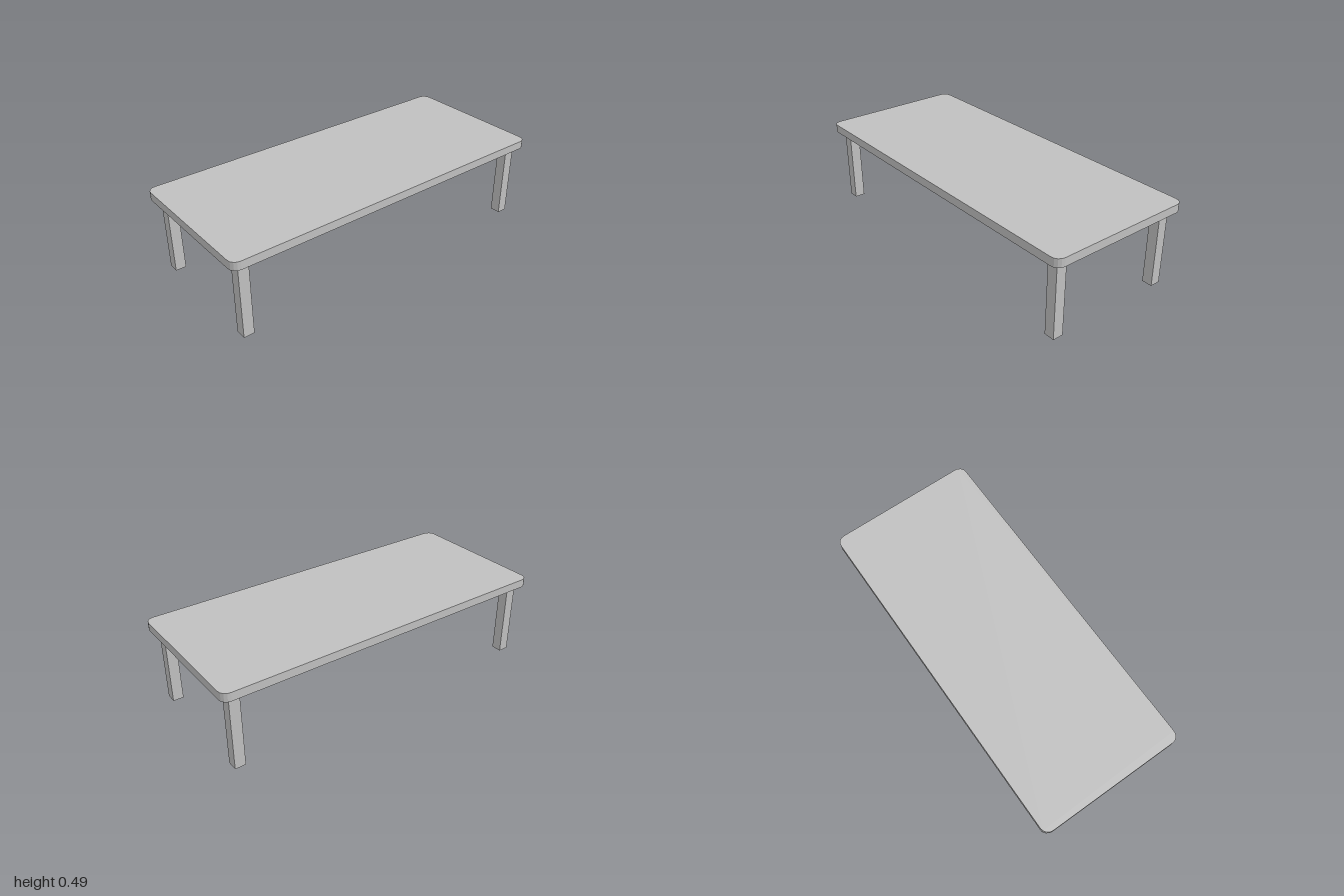
import * as THREE from 'three';

const HALF_X = 1, HALF_Z = 0.427;   // table top half sizes
const TOP = 0.485, UNDER = 0.437;   // top surface and lower edge of the rim
const CEILING = 0.463;              // underside of the panel inside the rim
const LEG = 0.06, LEG_X = 0.92, LEG_Z = 0.35;

// Rectangle with corners cut into two facets each
function roundedRect(w, d, r) {
  const s = new THREE.Shape();
  s.absarc(w - r, d - r, r, 0, Math.PI / 2);
  s.absarc(-w + r, d - r, r, Math.PI / 2, Math.PI);
  s.absarc(-w + r, -d + r, r, Math.PI, Math.PI * 1.5);
  s.absarc(w - r, -d + r, r, Math.PI * 1.5, Math.PI * 2);
  s.closePath();
  return s;
}

// Horizontal slab from y0 to y1
function slab(shape, y0, y1) {
  const g = new THREE.ExtrudeGeometry(shape, { depth: y1 - y0, bevelEnabled: false, curveSegments: 2 });
  return g.rotateX(-Math.PI / 2).translate(0, y0, 0);
}

export function createModel() {
  const group = new THREE.Group();
  const grey = new THREE.MeshStandardMaterial({ color: 0xc0c0c0 });
  grey.name = 'light grey';

  const add = (name, geometry) => {
    const mesh = new THREE.Mesh(geometry, grey);
    mesh.name = name;
    group.add(mesh);
    return mesh;
  };

  // Solid panel of the table top
  add('tableTop', slab(roundedRect(HALF_X, HALF_Z, 0.045), CEILING, TOP));

  // Rim around the recessed underside
  const rim = roundedRect(HALF_X, HALF_Z, 0.045);
  const ix = LEG_X + LEG / 2, iz = LEG_Z + LEG / 2;
  rim.holes.push(new THREE.Path([
    new THREE.Vector2(-ix, -iz), new THREE.Vector2(-ix, iz),
    new THREE.Vector2(ix, iz), new THREE.Vector2(ix, -iz),
  ]));
  add('tableRim', slab(rim, UNDER, CEILING));

  // Four square legs standing in the corners of the recess
  for (const [side, sx] of [['Left', 1], ['Right', -1]]) {
    for (const [end, sz] of [['front', 1], ['back', -1]]) {
      add(`${end}${side}Leg`, new THREE.BoxGeometry(LEG, CEILING, LEG))
        .position.set(sx * LEG_X, CEILING / 2, sz * LEG_Z);
    }
  }
  return group;
}
